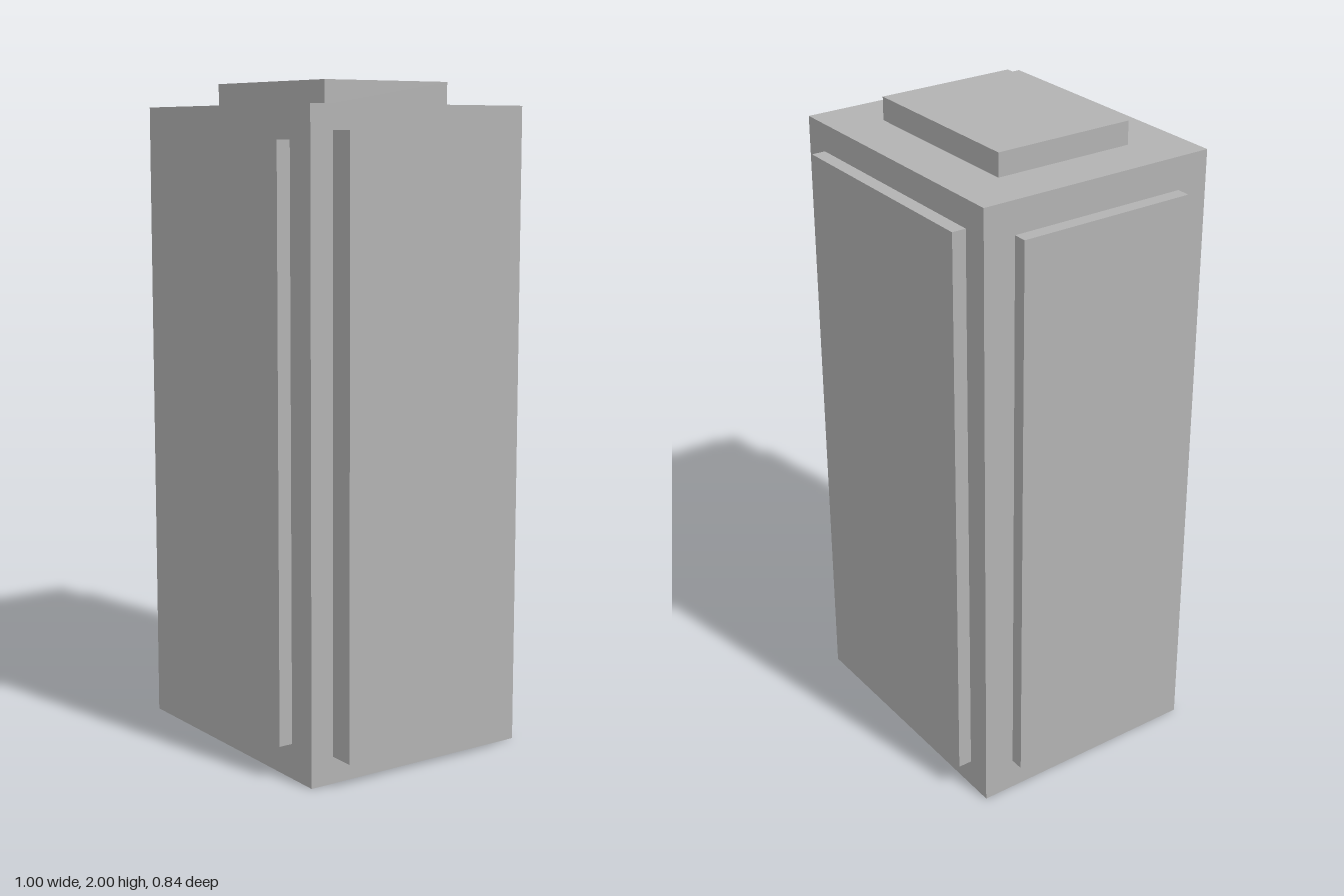
import * as THREE from 'three';

export function createModel() {
  const model = new THREE.Group();
  const grey = new THREE.MeshStandardMaterial({ color: 0xb2b2b2 });
  grey.name = 'grey';

  // Box spanning the given ranges on each axis
  const addBox = (name, [x0, x1], [y0, y1], [z0, z1]) => {
    const mesh = new THREE.Mesh(new THREE.BoxGeometry(x1 - x0, y1 - y0, z1 - z0), grey);
    mesh.position.set((x0 + x1) / 2, (y0 + y1) / 2, (z0 + z1) / 2);
    mesh.name = name;
    model.add(mesh);
  };

  // Main block and raised cap
  addBox('body', [-0.46, 0.42], [0, 1.93], [-0.377, 0.375]);
  addBox('topCap', [-0.306, 0.263], [1.93, 2], [-0.221, 0.219]);

  // Raised panels on the four sides
  addBox('frontPanel', [-0.363, 0.32], [0.105, 1.832], [0.375, 0.418]);
  addBox('backPanel', [-0.379, 0.336], [0.09, 1.847], [-0.42, -0.377]);
  addBox('leftPanel', [0.42, 0.5], [0.08, 1.858], [-0.301, 0.3]);
  addBox('rightPanel', [-0.502, -0.46], [0.1, 1.832], [-0.278, 0.277]);

  return model;
}
